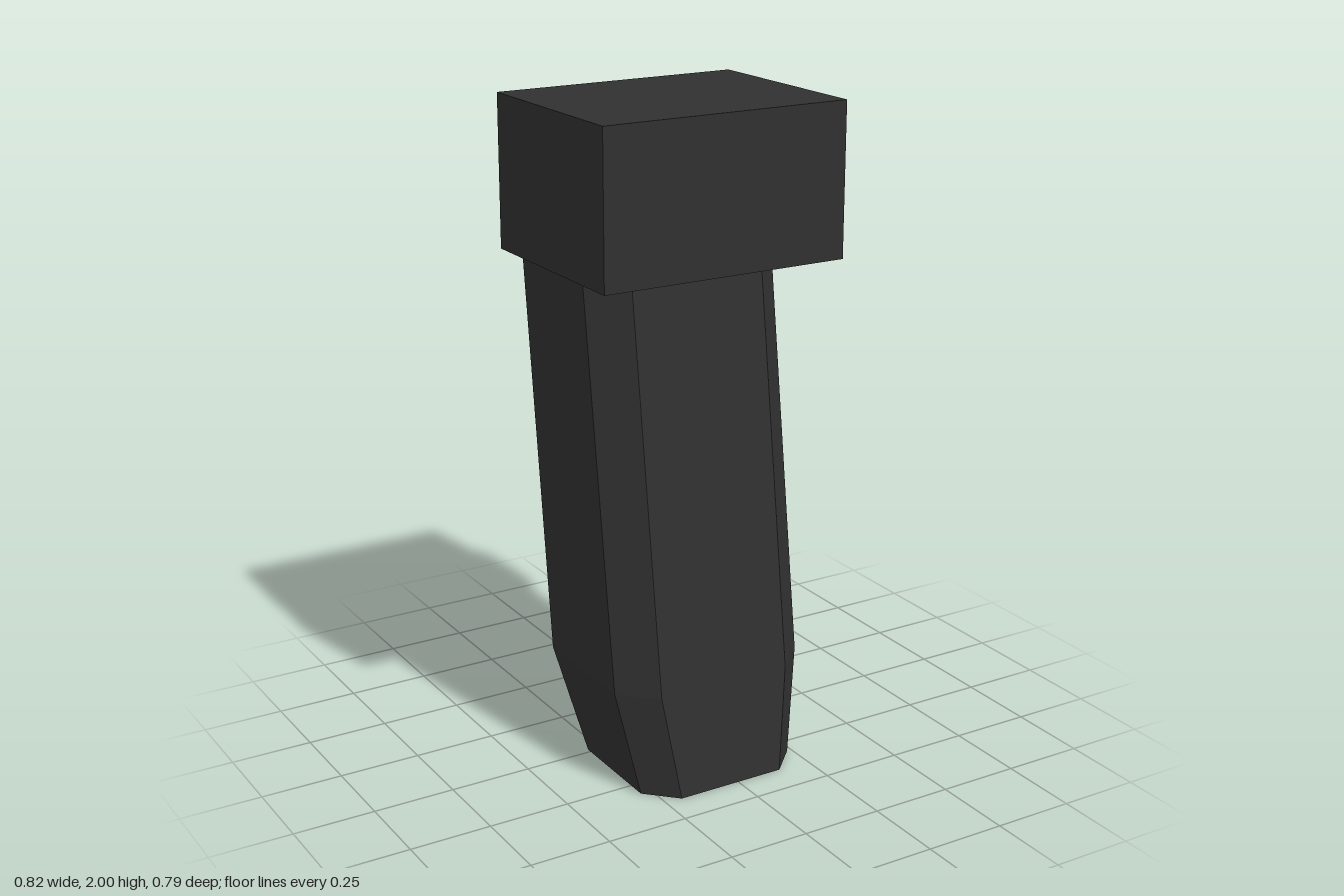
import * as THREE from 'three';

// Lofts chamfered eight-sided rings, listed from bottom to top
function loft(sections) {
  const rings = sections.map(({ y, half, flat, front, frontCut, backCut, back }) => [
    [-flat, front], [flat, front], [half, frontCut], [half, backCut],
    [flat, back], [-flat, back], [-half, backCut], [-half, frontCut],
  ].map(([x, z]) => [x, y, z]));
  const pos = [];
  const tri = (...pts) => pts.forEach((p) => pos.push(...p));
  for (let r = 0; r < rings.length - 1; r++) {
    for (let i = 0; i < 8; i++) {
      const j = (i + 1) % 8;
      const lo = rings[r], hi = rings[r + 1];
      tri(lo[i], lo[j], hi[j]);
      tri(lo[i], hi[j], hi[i]);
    }
  }
  // End caps
  const bottom = rings[0], top = rings[rings.length - 1];
  for (let i = 1; i < 7; i++) {
    tri(bottom[0], bottom[i + 1], bottom[i]);
    tri(top[0], top[i], top[i + 1]);
  }
  const g = new THREE.BufferGeometry();
  g.setAttribute('position', new THREE.Float32BufferAttribute(pos, 3));
  g.computeVertexNormals();
  return g;
}

export function createModel() {
  const group = new THREE.Group();
  const charcoal = new THREE.MeshStandardMaterial({ color: 0x303030, flatShading: true });
  charcoal.name = 'charcoal';

  const add = (name, geometry, x, y, z) => {
    const mesh = new THREE.Mesh(geometry, charcoal);
    mesh.name = name;
    mesh.position.set(x, y, z);
    group.add(mesh);
    return mesh;
  };

  // Leaning handle, tapered at the foot
  add('handle', loft([
    { y: 0, half: 0.26, flat: 0.172, front: 0.395, frontCut: 0.307, backCut: -0.015, back: -0.103 },
    { y: 0.315, half: 0.316, flat: 0.215, front: 0.353, frontCut: 0.255, backCut: -0.127, back: -0.23 },
    { y: 1.71, half: 0.316, flat: 0.215, front: 0.168, frontCut: 0.068, backCut: -0.293, back: -0.395 },
  ]), -0.025, 0, 0);

  // Mounting block on top
  add('mountBlock', new THREE.BoxGeometry(0.778, 0.455, 0.612), -0.024, 1.7725, 0.041);

  // Octagonal bolt head on the left side
  const bolt = add('boltHead', new THREE.CylinderGeometry(0.156, 0.156, 0.05, 8), 0.386, 1.795, 0.041);
  bolt.rotation.z = -Math.PI / 2;

  return group;
}
